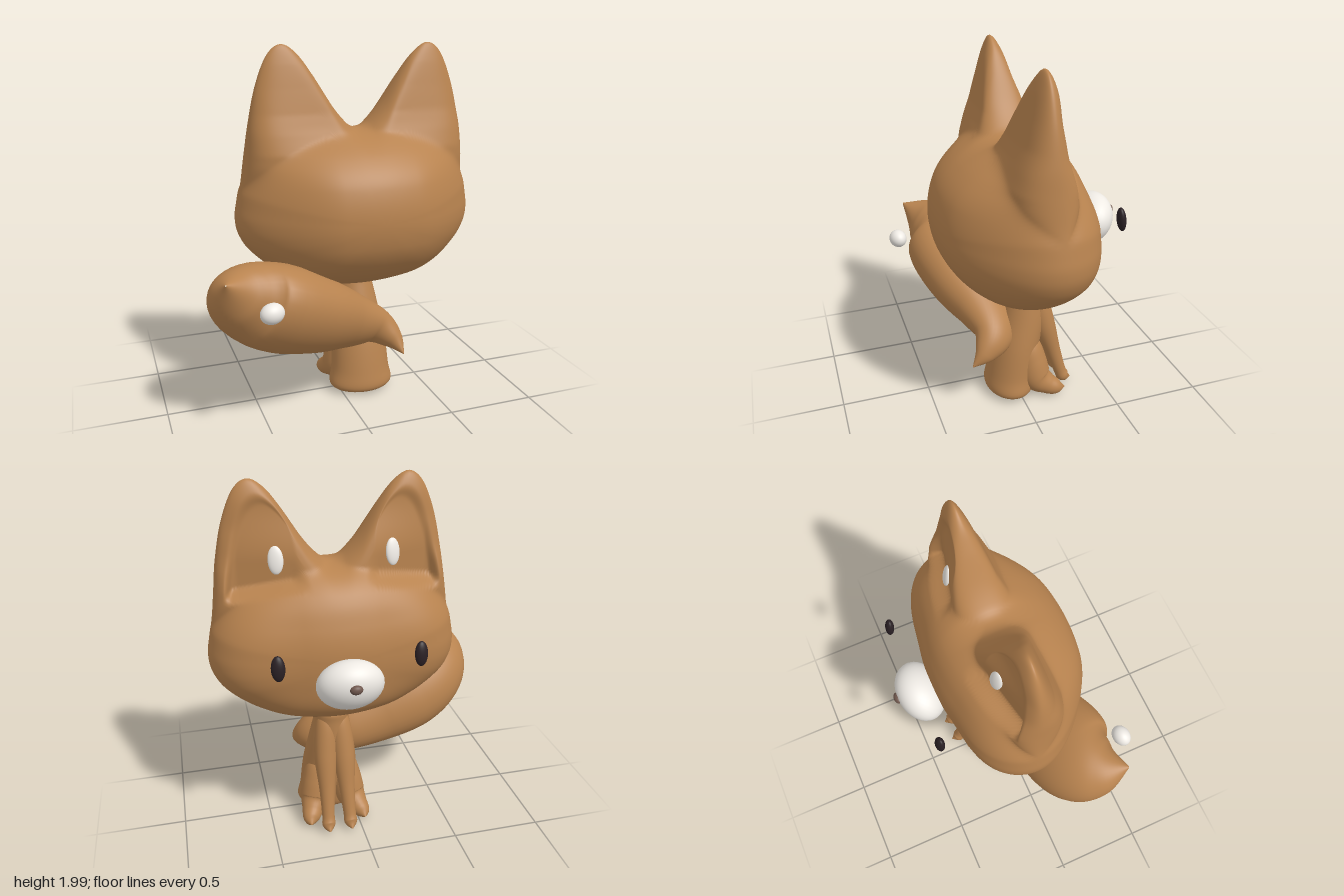
import * as THREE from 'three';
import { ParametricGeometry } from 'three/addons/geometries/ParametricGeometry.js';
import { mergeVertices } from 'three/addons/utils/BufferGeometryUtils.js';

const CX = 0.105; // symmetry plane of the head
const BX = 0.13; // symmetry plane of the body
const paint = (color) => new THREE.MeshStandardMaterial({ color });
const fur = paint(0xb8834f);
const white = paint(0xeeeae4);
const dark = paint(0x2a2024);
const noseBrown = paint(0x6e564c);

const v3 = (a) => new THREE.Vector3(...a);
const spline = (rows, closed = false) => new THREE.CatmullRomCurve3(rows.map(v3), closed, 'catmullrom');
const { smoothstep: smooth, lerp } = THREE.MathUtils;

function add(group, name, geometry, material) {
  const mesh = new THREE.Mesh(geometry, material);
  mesh.name = name;
  group.add(mesh);
  return mesh;
}

function ellipsoid(group, name, material, centre, radii, rotation = [0, 0, 0]) {
  const mesh = add(group, name, new THREE.SphereGeometry(1, 32, 24), material);
  mesh.position.set(...centre);
  mesh.scale.set(...radii);
  mesh.rotation.set(...rotation);
}

// Joins the seams of a grid surface so that it shades smoothly
function weld(geo) {
  geo.deleteAttribute('uv');
  geo.deleteAttribute('normal');
  const welded = mergeVertices(geo, 1e-5);
  welded.computeVertexNormals();
  return welded;
}

// Round tube whose radius follows the fourth number of each station;
// lean slants each section so that its upper side lies further back
function sweep(stations, lean = 0, segments = 48, sides = 28) {
  const path = spline(stations.map((s) => s.slice(0, 3)));
  const radii = spline(stations.map((s) => [s[3], 0, 0]));
  const geo = new THREE.TubeGeometry(path, segments, 1, sides);
  const pos = geo.attributes.position;
  const p = new THREE.Vector3();
  for (let i = 0; i < pos.count; i++) {
    const t = Math.floor(i / (sides + 1)) / segments;
    const centre = path.getPointAt(t);
    const r = Math.max(0.002, radii.getPoint(path.getUtoTmapping(t)).x);
    p.fromBufferAttribute(pos, i).sub(centre).multiplyScalar(r);
    p.z += lean * p.y;
    p.add(centre);
    pos.setXYZ(i, p.x, p.y, p.z);
  }
  return weld(geo);
}

// Skull and ears in one skin: the outline is filled by rings, the depth set by rule
function headGeometry() {
  const cy = 1.12;
  const half = [
    [0, 0.685], [0.28, 0.715], [0.46, 0.79], [0.6, 0.905], [0.66, 1.0], [0.675, 1.09], [0.662, 1.18],
    [0.638, 1.3], [0.617, 1.45], [0.597, 1.6], [0.555, 1.79], [0.49, 1.945], [0.415, 2.0],
    [0.335, 1.955], [0.255, 1.85], [0.15, 1.685], [0.075, 1.595], [0.035, 1.567], [0, 1.56],
  ];
  const mirrored = half.slice(1, -1).reverse().map(([x, y]) => [-x, y]);
  const outline = spline([...half, ...mirrored].map(([x, y]) => [x, y, 0]), true);
  outline.arcLengthDivisions = 600;

  // half depth of the ears by height: face side, back side
  const earDepth = [
    [1.3, 0.15, 0.19], [1.45, 0.158, 0.18], [1.55, 0.145, 0.15], [1.65, 0.125, 0.115],
    [1.78, 0.098, 0.085], [1.9, 0.073, 0.06], [2.0, 0.05, 0.035],
  ];
  const earHalf = (y, column) => {
    const i = Math.max(1, earDepth.findIndex((row) => row[0] >= y));
    const [a, b] = [earDepth[i - 1], earDepth[i]];
    return lerp(a[column], b[column], THREE.MathUtils.clamp((y - a[0]) / (b[0] - a[0]), 0, 1));
  };

  const skin = (u, v, target) => {
    const edge = outline.getPointAt(u % 1);
    const rho = Math.sin(v * Math.PI);
    const dome = Math.abs(Math.cos(v * Math.PI));
    const front = v < 0.5;
    const x = edge.x * rho, y = cy + (edge.y - cy) * rho;
    const w = Math.abs(x), ny = (y - cy) / 0.437;
    // the widest line of the cheeks and the chin lie towards the face
    const seam = 0.04 - 0.07 * smooth(w, 0.2, 0.67) - 0.03 * smooth(-ny, 0.3, 1) * (1 - smooth(w, 0.2, 0.5));
    const mid = seam * (1 - smooth(y, 1.3, 1.6));

    // skull dome, fuller at the lower face
    let skull = dome;
    if (y > cy) skull = Math.min(dome, Math.sqrt(Math.max(0, 1 - (w / 0.675) ** 2 - ny * ny)));
    skull *= 0.41 * (front && y < cy ? 1 + 0.28 * ny * ny : 1);

    // flat ears with rounded rims
    const rim = Math.sqrt(Math.max(0, 1 - rho ** 10)) * smooth(y, 1.0, 1.4);
    let ear = earHalf(Math.min(y, 2), front ? 1 : 2);
    if (front) ear += mid - 0.035 * smooth(w, 0.3, 0.6) * smooth(y, 1.45, 1.65) * (1 - smooth(y, 1.75, 1.95));
    ear *= rim;
    const depth = (skull ** 4 + ear ** 4) ** 0.25;
    let z = front ? mid - depth : mid + depth;

    // hollow inside the ear
    if (front) {
      const base = 1.4 + 0.2 * Math.max(0, 0.54 - w);
      const hollow = smooth(y, base, base + 0.055) * (1 - smooth(rho, 0.86, 0.94)) * smooth(w, 0.14, 0.23);
      const floor = (-0.055 - 0.25 * Math.max(0, 0.5 - w)) * (1 - 0.5 * smooth(y, 1.6, 1.9));
      z = lerp(z, Math.max(z, floor), hollow);
    }
    target.set(CX + x, y, z);
  };
  return weld(new ParametricGeometry(skin, 260, 140));
}

// Torso: upright loft of ellipses, flared at the seat
function torsoGeometry() {
  // height, half width, half depth
  const size = spline([
    [0.012, 0.001, 0.001], [0.016, 0.11, 0.085], [0.05, 0.185, 0.138], [0.15, 0.172, 0.143], [0.33, 0.157, 0.135],
    [0.5, 0.13, 0.125], [0.65, 0.1, 0.1], [0.72, 0.085, 0.085], [0.76, 0.001, 0.001],
  ]);
  const lean = spline([0.035, 0.035, 0.04, 0.025, -0.005, -0.05, -0.075, -0.085, -0.085].map((z) => [z, 0, 0]));
  return weld(new ParametricGeometry((u, v, target) => {
    const { x: y, y: rx, z: rz } = size.getPoint(v);
    const a = -u * Math.PI * 2;
    target.set(BX + rx * Math.cos(a), y, lean.getPoint(v).x + rz * Math.sin(a));
  }, 40, 48));
}

export function createModel() {
  const model = new THREE.Group();
  model.name = 'sittingFox';

  // Head
  const head = new THREE.Group();
  head.name = 'head';
  model.add(head);
  add(head, 'skullAndEars', headGeometry(), fur);
  for (const side of [-1, 1]) {
    const label = side > 0 ? 'left' : 'right';
    ellipsoid(head, label + 'EarTuft', white, [CX + side * 0.305, 1.61, -0.11], [0.04, 0.072, 0.018], [0.22, side * -0.25, 0]);
    ellipsoid(head, label + 'Eye', dark, [CX + side * 0.363, 1.18, -0.457], [0.035, 0.066, 0.024], [0.12, side * -0.15, 0]);
  }
  ellipsoid(head, 'muzzle', white, [CX, 1.04, -0.437], [0.176, 0.15, 0.12], [-0.6, 0, 0]);
  ellipsoid(head, 'nose', noseBrown, [CX, 1.075, -0.565], [0.033, 0.025, 0.022]);

  // Body with haunches, hind feet and front legs
  const body = new THREE.Group();
  body.name = 'body';
  model.add(body);
  add(body, 'torso', torsoGeometry(), fur);
  for (const side of [-1, 1]) {
    const label = side > 0 ? 'left' : 'right';
    const limb = (rows) => sweep(rows.map(([x, y, z, r]) => [BX + side * x, y, z, r]));
    // thigh running down into the hind foot
    add(body, label + 'HindLeg', limb([
      [0.05, 0.42, -0.04, 0.005], [0.065, 0.34, -0.05, 0.07], [0.085, 0.23, -0.07, 0.088], [0.105, 0.125, -0.095, 0.088],
      [0.135, 0.075, -0.155, 0.062], [0.155, 0.053, -0.21, 0.043], [0.16, 0.045, -0.255, 0.002],
    ]), fur);
    add(body, label + 'FrontLeg', limb([
      [0.03, 0.74, -0.09, 0.005], [0.038, 0.65, -0.11, 0.055], [0.052, 0.45, -0.155, 0.064], [0.058, 0.25, -0.215, 0.045],
      [0.063, 0.1, -0.262, 0.036], [0.065, 0.053, -0.287, 0.037], [0.065, 0.035, -0.33, 0.002],
    ]), fur);
  }

  // Bushy tail sweeping round to the right, with a pale ball behind it
  add(model, 'tail', sweep([
    [0.29, 0.31, 0.3, 0.002], [0.255, 0.37, 0.21, 0.062], [0.17, 0.435, 0.14, 0.115], [0, 0.495, 0.14, 0.178],
    [-0.2, 0.57, 0.185, 0.232], [-0.4, 0.65, 0.225, 0.257], [-0.56, 0.73, 0.265, 0.23],
    [-0.66, 0.81, 0.345, 0.155], [-0.725, 0.905, 0.455, 0.004],
  ], 0.28, 72, 36), fur);
  ellipsoid(model, 'tailBall', white, [-0.52, 0.765, 0.535], [0.063, 0.053, 0.05], [0, 0.2, 0.1]);

  return model;
}
